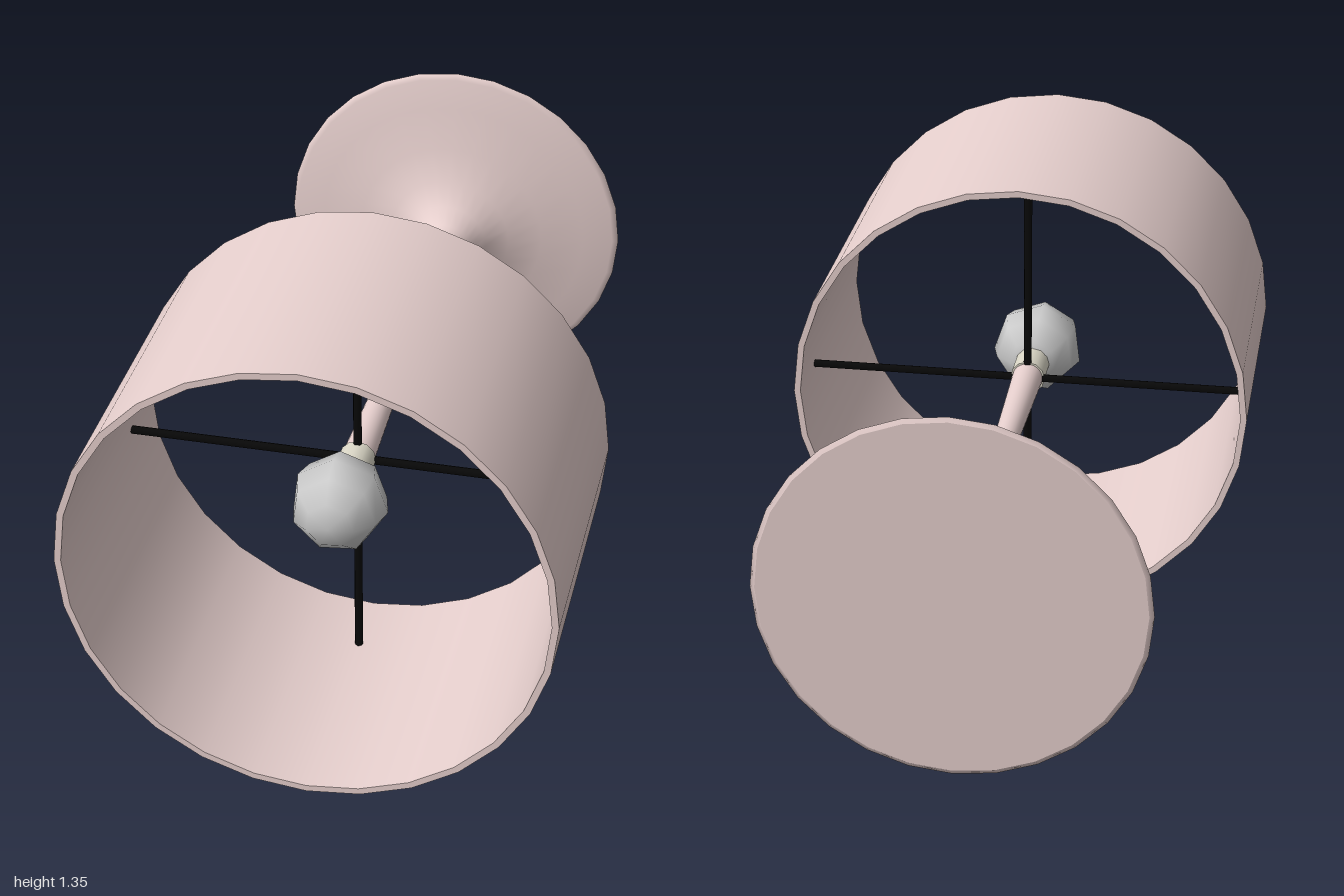
import * as THREE from 'three';

const AXIS_Y = 0.675; // height of the lamp's axis, which lies along z

const pink = new THREE.MeshStandardMaterial({ color: 0xe6cfcd });
const black = new THREE.MeshStandardMaterial({ color: 0x080808 });
const cream = new THREE.MeshStandardMaterial({ color: 0xdcd8c8 });
const grey = new THREE.MeshStandardMaterial({ color: 0xcccccc });

// Turned part along z from [radius, z] pairs; a repeated pair makes a sharp edge
function turned(name, profile, sides, material) {
  const points = profile.map(([r, z]) => new THREE.Vector2(r, z));
  const geometry = new THREE.LatheGeometry(points, sides);
  geometry.normalizeNormals();
  geometry.rotateX(Math.PI / 2);
  const mesh = new THREE.Mesh(geometry, material);
  mesh.name = name;
  mesh.position.y = AXIS_Y;
  return mesh;
}

export function createModel() {
  const lamp = new THREE.Group();
  lamp.name = 'lamp';

  // Flared foot running into the slender stem
  lamp.add(turned('baseAndStem', [
    [0, -1], [0.515, -1], [0.515, -1],
    [0.528, -0.994], [0.51, -0.984], [0.42, -0.967], [0.29, -0.942],
    [0.19, -0.912], [0.125, -0.87], [0.088, -0.82], [0.067, -0.76],
    [0.053, -0.6], [0.041, -0.4], [0.035, -0.2], [0.037, 0], [0.041, 0.17],
    [0.046, 0.37], [0.046, 0.37], [0, 0.37],
  ], 28, pink));

  // Open drum shade with a thin wall
  const R = 0.675, r = 0.656, back = 0.168, front = 1;
  lamp.add(turned('shade', [
    [R, back], [R, front], [R, front], [r, front], [r, front],
    [r, back], [r, back], [R, back],
  ], 28, pink));

  // Crossed rods carrying the shade
  const rods = new THREE.Group();
  rods.name = 'shadeSupport';
  rods.position.set(0, AXIS_Y, 0.365);
  for (const [name, turn] of [['verticalRod', 0], ['horizontalRod', Math.PI / 2]]) {
    const rod = new THREE.Mesh(new THREE.CylinderGeometry(0.012, 0.012, 1.32, 8), black);
    rod.name = name;
    rod.rotation.z = turn;
    rods.add(rod);
  }
  lamp.add(rods);

  // Bulb socket
  lamp.add(turned('socket', [
    [0, 0.36], [0.052, 0.36], [0.052, 0.36],
    [0.052, 0.47], [0.052, 0.47], [0, 0.47],
  ], 12, cream));

  // Coarse round bulb
  const bulbGeometry = new THREE.SphereGeometry(0.137, 7, 6);
  bulbGeometry.rotateX(Math.PI / 2);
  bulbGeometry.rotateZ(0.33);
  const bulb = new THREE.Mesh(bulbGeometry, grey);
  bulb.name = 'bulb';
  bulb.position.set(0, AXIS_Y + 0.005, 0.585);
  lamp.add(bulb);

  return lamp;
}
